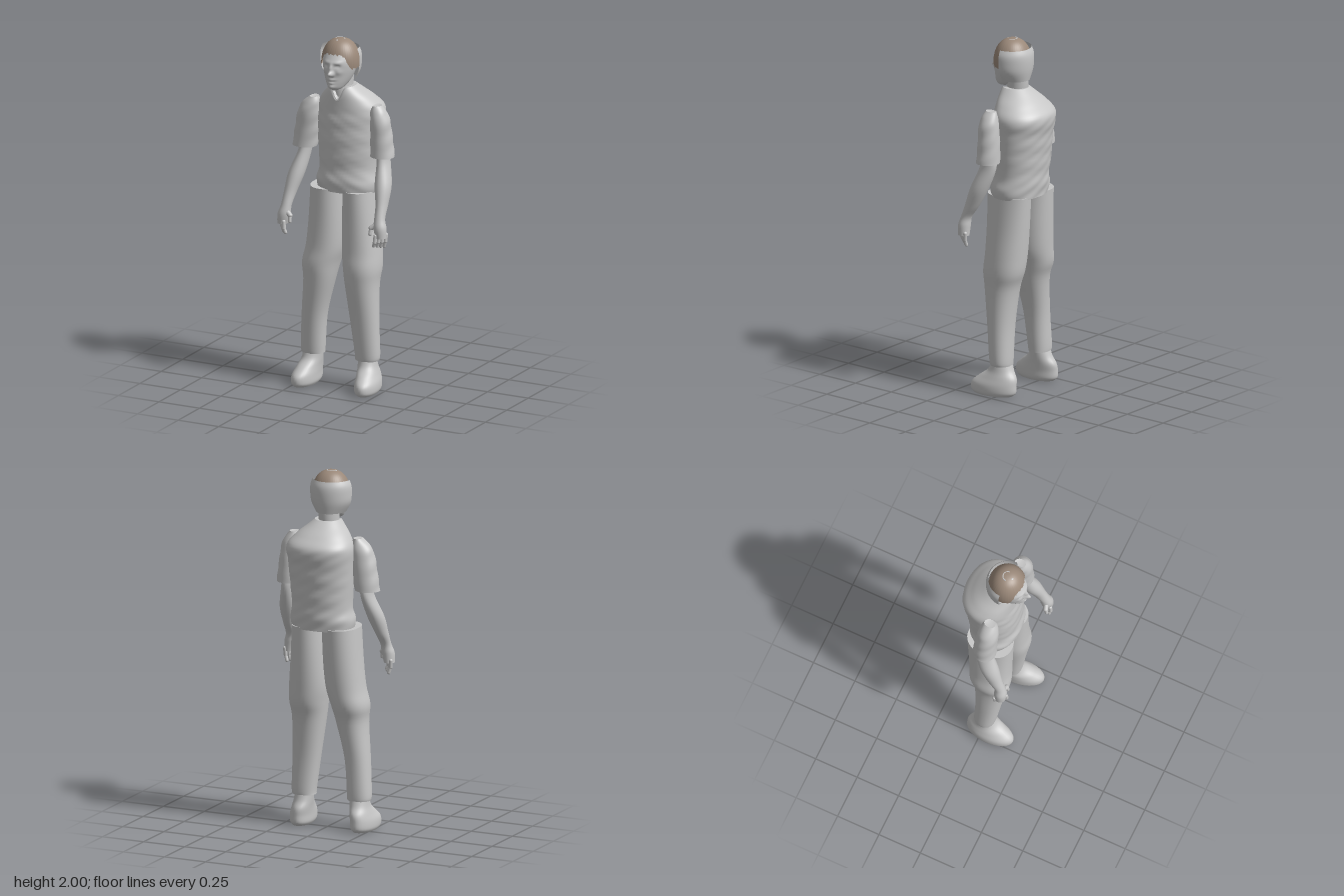
import * as THREE from 'three';

const grey = new THREE.MeshStandardMaterial({ color: 0xc6c6c6, side: THREE.DoubleSide });
grey.name = 'plain grey';
const brown = new THREE.MeshStandardMaterial({ color: 0x9a8879, side: THREE.DoubleSide });
brown.name = 'hair brown';

// Catmull-Rom subdivision of cross-section rows
function refine(rows, steps) {
  const out = [];
  for (let i = 0; i < rows.length - 1; i++) {
    const a = rows[Math.max(i - 1, 0)], b = rows[i], c = rows[i + 1], d = rows[Math.min(i + 2, rows.length - 1)];
    for (let s = 0; s < steps; s++) {
      const t = s / steps;
      out.push(b.map((_, k) => 0.5 * (2 * b[k] + (c[k] - a[k]) * t
        + (2 * a[k] - 5 * b[k] + 4 * c[k] - d[k]) * t * t
        + (3 * b[k] - a[k] - 3 * c[k] + d[k]) * t * t * t)));
    }
  }
  out.push(rows[rows.length - 1]);
  return out;
}

// Closed loft through horizontal ellipses [y, cx, cz, rx, rz], bottom to top
function loft(name, rows, { segs = 32, steps = 5, power = 1, rule } = {}) {
  const rings = refine(rows, steps), pos = [], index = [], v = new THREE.Vector3();
  const soften = (n) => Math.sign(n) * Math.abs(n) ** power;
  const addRing = ([y, cx, cz, rx, rz]) => {
    const start = pos.length / 3;
    for (let j = 0; j < segs; j++) {
      const a = (j / segs) * Math.PI * 2;
      v.set(cx + rx * soften(Math.cos(a)), y, cz + rz * soften(Math.sin(a)));
      if (rule) rule(v, a);
      pos.push(v.x, v.y, v.z);
    }
    return start;
  };
  rings.forEach(addRing);
  for (let i = 0; i < rings.length - 1; i++) {
    for (let j = 0; j < segs; j++) {
      const k = (j + 1) % segs, p = i * segs, q = p + segs;
      index.push(p + j, q + j, p + k, p + k, q + j, q + k);
    }
  }
  // Separate cap vertices keep the rims sharp
  [rings[0], rings[rings.length - 1]].forEach((r, top) => {
    const s = addRing(r), c = pos.length / 3;
    pos.push(r[1], r[0] - (top ? 0.005 : 0), r[2]);
    for (let j = 0; j < segs; j++) {
      const k = (j + 1) % segs;
      index.push(c, s + (top ? k : j), s + (top ? j : k));
    }
  });
  return finish(name, pos, index, grey);
}

function finish(name, pos, index, material) {
  const geo = new THREE.BufferGeometry();
  geo.setAttribute('position', new THREE.Float32BufferAttribute(pos, 3));
  geo.setIndex(index);
  geo.computeVertexNormals();
  const mesh = new THREE.Mesh(geo, material);
  mesh.name = name;
  return mesh;
}

// Open sheet from a function of (u, v): u runs around, v runs upward
function sheet(name, nu, nv, fn, material) {
  const pos = [], index = [], w = nu + 1;
  for (let i = 0; i <= nv; i++) for (let j = 0; j <= nu; j++) pos.push(...fn(j / nu, i / nv));
  for (let i = 0; i < nv; i++) {
    for (let j = 0; j < nu; j++) {
      const p = i * w + j;
      index.push(p, p + w, p + 1, p + 1, p + w, p + w + 1);
    }
  }
  return finish(name, pos, index, material);
}

// Rounded rod between two points
function rod(name, a, b, r) {
  const from = new THREE.Vector3(...a), to = new THREE.Vector3(...b), d = to.clone().sub(from);
  const mesh = new THREE.Mesh(new THREE.CapsuleGeometry(r, d.length(), 5, 10), grey);
  mesh.position.copy(from).add(to).multiplyScalar(0.5);
  mesh.quaternion.setFromUnitVectors(new THREE.Vector3(0, 1, 0), d.normalize());
  mesh.name = name;
  return mesh;
}

// Face relief: [x, y, width, height, depth]
const face = [
  [0, 1.822, 0.014, 0.013, 0.032], [0, 1.85, 0.01, 0.022, 0.016],
  [0, 1.786, 0.022, 0.007, 0.008], [0, 1.777, 0.022, 0.003, -0.006],
  [0, 1.768, 0.016, 0.006, 0.007], [0, 1.744, 0.022, 0.013, 0.012],
];
for (const s of [-1, 1]) {
  face.push([s * 0.034, 1.862, 0.014, 0.009, -0.012], [s * 0.034, 1.86, 0.007, 0.004, 0.006],
    [s * 0.032, 1.884, 0.024, 0.008, 0.005], [s * 0.045, 1.83, 0.016, 0.015, 0.006], [s * 0.011, 1.815, 0.006, 0.007, 0.01]);
}

// Limbs: rows are [y, right cx, left cx, cz, right rx, left rx, rz]
const legRows = [
  [0.17, -0.187, 0.145, 0.01, 0.065, 0.066, 0.058], [0.21, -0.187, 0.147, 0.012, 0.068, 0.07, 0.062],
  [0.4, -0.172, 0.135, 0.022, 0.07, 0.08, 0.072], [0.6, -0.14, 0.122, 0.025, 0.086, 0.093, 0.095],
  [0.7, -0.133, 0.12, 0.015, 0.102, 0.104, 0.115], [0.8, -0.11, 0.112, 0.005, 0.106, 0.107, 0.117],
  [0.95, -0.097, 0.105, -0.002, 0.105, 0.1, 0.122], [1.14, -0.09, 0.1, -0.007, 0.1, 0.09, 0.13],
];
const shoeRows = [
  [0, -0.208, 0.168, 0.05, 0.056, 0.056, 0.115], [0.02, -0.208, 0.168, 0.048, 0.066, 0.066, 0.135],
  [0.06, -0.207, 0.167, 0.045, 0.066, 0.066, 0.134], [0.1, -0.2, 0.16, 0.025, 0.06, 0.06, 0.11],
  [0.14, -0.192, 0.152, 0.012, 0.056, 0.056, 0.072], [0.19, -0.187, 0.147, 0.01, 0.055, 0.055, 0.052],
];
const sleeveRows = [
  [1.35, -0.23, 0.247, 0.025, 0.07, 0.068, 0.065], [1.45, -0.215, 0.241, 0.025, 0.071, 0.062, 0.062],
  [1.55, -0.2, 0.235, 0.03, 0.065, 0.055, 0.058], [1.6, -0.185, 0.226, 0.03, 0.052, 0.045, 0.047],
  [1.637, -0.172, 0.217, 0.028, 0.024, 0.022, 0.032],
];
const armRows = [
  [0.925, -0.302, 0.304, 0.15, 0.03, 0.03, 0.033], [0.98, -0.294, 0.297, 0.15, 0.036, 0.036, 0.035],
  [1.03, -0.285, 0.29, 0.14, 0.03, 0.03, 0.031], [1.1, -0.277, 0.285, 0.105, 0.035, 0.033, 0.043],
  [1.2, -0.26, 0.272, 0.065, 0.045, 0.045, 0.054], [1.32, -0.232, 0.252, 0.022, 0.034, 0.034, 0.052],
  [1.4, -0.225, 0.245, 0.02, 0.035, 0.035, 0.045],
];
const pick = (rows, left) => rows.map((r) => [r[0], r[left ? 2 : 1], r[3], r[left ? 5 : 4], r[6]]);

export function createModel() {
  const model = new THREE.Group();
  model.name = 'standingMan';
  const ss = THREE.MathUtils.smoothstep;

  // Shirt body with gentle folds and a V neck
  model.add(loft('shirt', [
    [1.13, 0.018, -0.015, 0.176, 0.132], [1.18, 0.02, -0.015, 0.184, 0.139], [1.25, 0.02, -0.022, 0.17, 0.136],
    [1.38, 0.02, -0.028, 0.178, 0.143], [1.5, 0.02, -0.038, 0.185, 0.148], [1.59, 0.02, -0.048, 0.189, 0.15],
    [1.65, 0.015, -0.024, 0.152, 0.124], [1.7, 0.01, 0.005, 0.1, 0.095], [1.73, 0.008, 0.022, 0.07, 0.074],
  ], { segs: 64, steps: 6, power: 0.92, rule: (v) => {
    const fold = 0.003 * Math.sin(v.y * 75 + v.x * 22) * Math.sin(v.x * 30 + v.y * 17 + 1) * (1 - ss(v.y, 1.55, 1.62));
    v.z += fold * Math.sign(v.z + 0.02);
    if (v.z > 0.02) v.y -= 0.075 * ss(v.y, 1.64, 1.73) * Math.exp(-(((v.x - 0.005) / 0.03) ** 2));
  } }));

  for (const left of [false, true]) {
    const side = left ? 'left' : 'right', s = left ? 1 : -1;
    model.add(loft(side + 'TrouserLeg', pick(legRows, left), { segs: 40, power: 0.9 }));
    model.add(loft(side + 'Shoe', pick(shoeRows, left), { rule: (v) => {
      if (left) v.x += 0.12 * (v.z - 0.03);
    } }));
    model.add(loft(side + 'Sleeve', pick(sleeveRows, left), { rule: (v, a) => {
      v.x += 0.002 * Math.sin(v.y * 70 + a * 2);
    } }));
    model.add(loft(side + 'Arm', pick(armRows, left), { segs: 24 }));

    // Fingers and thumb
    for (let i = 0; i < 4; i++) {
      const x = 0.322 - 0.013 * i, z = 0.126 + 0.017 * i;
      model.add(rod(side + 'Finger', [s * x, 0.94, z], [s * (x - 0.003), 0.902, z + 0.003], 0.011));
      model.add(rod(side + 'Fingertip', [s * (x - 0.003), 0.902, z + 0.003], [s * (x - 0.012), 0.872 + 0.003 * i, z], 0.0095));
    }
    model.add(rod(side + 'ThumbBase', [s * 0.28, 1.0, 0.155], [s * 0.25, 0.978, 0.165], 0.014));
    model.add(rod(side + 'Thumb', [s * 0.25, 0.978, 0.165], [s * 0.247, 0.945, 0.172], 0.01));
  }

  // Neck and head
  model.add(loft('neck', [
    [1.62, 0, 0.02, 0.058, 0.062], [1.7, 0, 0.02, 0.056, 0.062], [1.75, 0, 0.015, 0.056, 0.06], [1.82, 0, 0.012, 0.06, 0.06],
  ]));
  model.add(loft('head', [
    [1.718, 0, 0.118, 0.012, 0.012], [1.732, 0, 0.102, 0.04, 0.046], [1.76, 0, 0.075, 0.06, 0.083],
    [1.8, 0, 0.06, 0.077, 0.099], [1.84, 0, 0.055, 0.087, 0.106], [1.88, 0, 0.053, 0.09, 0.108],
    [1.92, 0, 0.048, 0.086, 0.092], [1.96, 0, 0.048, 0.07, 0.068], [1.985, 0, 0.05, 0.02, 0.02],
  ], { segs: 96, steps: 7, rule: (v, a) => {
    if (Math.sin(a) <= 0) return;
    const { x, y } = v;
    for (const [fx, fy, w, h, d] of face) v.z += d * Math.sin(a) * Math.exp(-(((x - fx) / w) ** 2) - ((y - fy) / h) ** 2);
  } }));

  // Hair cap: short over the forehead, longer at the temples
  model.add(sheet('hair', 96, 20, (u, t) => {
    const a = u * Math.PI * 2, f = Math.sin(a);
    const jag = 0.004 * Math.sin(a * 23) + 0.003 * Math.sin(a * 37);
    const edge = (f > 0 ? 1.845 + 0.08 * ss(f, 0.5, 0.9) : 1.845 + 0.045 * ss(-f, 0, 0.5)) + jag;
    const low = Math.acos(THREE.MathUtils.clamp((edge - 1.86) / 0.138, -1, 1));
    const phi = low * (1 - t);
    const r = Math.abs(Math.sin(phi)) ** 0.85;
    const strand = 1 + 0.008 * Math.sin(a * 41) * r;
    return [0.003 + 0.108 * r * strand * Math.cos(a), 1.86 + 0.138 * Math.cos(phi), 0.05 + 0.104 * r * strand * f];
  }, brown));

  // Pale band around the sides and back of the head
  const band = refine([[1.77, 0.085, 0.105], [1.825, 0.114, 0.116], [1.88, 0.12, 0.12], [1.92, 0.118, 0.117], [1.95, 0.106, 0.106]], 4);
  model.add(sheet('headBand', 40, 16, (u, t) => {
    const a = Math.PI * (1 + u), [y, rx, rz] = band[Math.round(t * 16)];
    return [rx * Math.cos(a), y, 0.055 + rz * Math.sin(a)];
  }, grey));

  // Bare patches on the crown
  const crown = new THREE.Mesh(new THREE.TorusGeometry(0.027, 0.004, 6, 24, Math.PI), grey);
  crown.rotation.x = -Math.PI / 2;
  crown.position.set(0, 1.994, 0.055);
  crown.scale.z = 0.8;
  crown.name = 'crownArc';
  const spot = new THREE.Mesh(new THREE.SphereGeometry(0.009, 12, 8), grey);
  spot.scale.y = 0.35;
  spot.position.set(-0.002, 1.991, 0.08);
  spot.name = 'crownSpot';
  model.add(crown, spot);
  return model;
}
